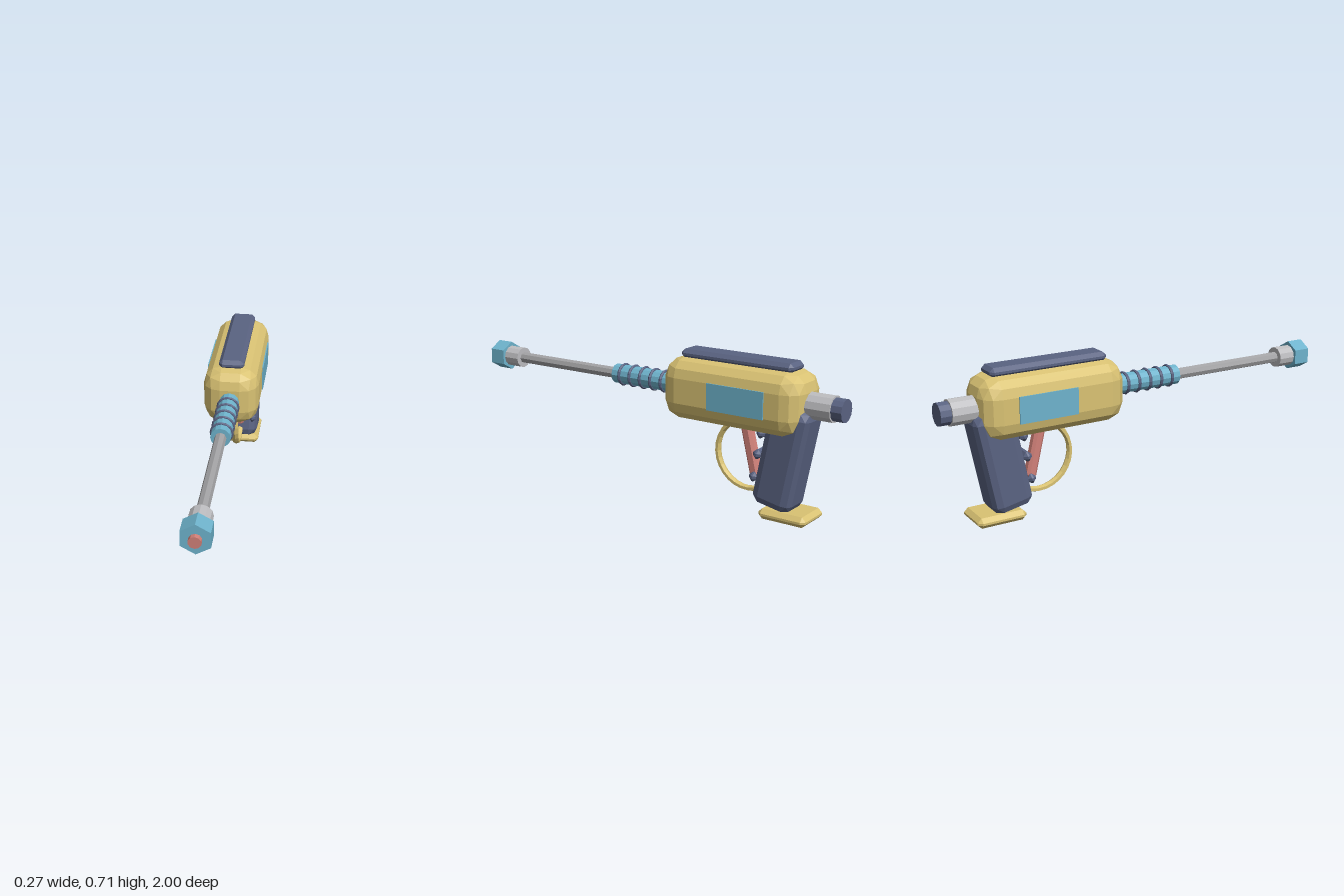
import * as THREE from 'three';
import { ConvexGeometry } from 'three/addons/geometries/ConvexGeometry.js';

const AXIS = 0.528; // height of the barrel line

export function createModel() {
  const model = new THREE.Group();
  model.name = 'sprayGun';

  const paint = (name, color) => {
    const m = new THREE.MeshStandardMaterial({ color, flatShading: true });
    m.name = name;
    return m;
  };
  const yellow = paint('mustard yellow', 0xd9c273);
  const navy = paint('slate navy', 0x5a6382);
  const blue = paint('sky blue', 0x6eb3cc);
  const pink = paint('coral', 0xd08078);
  const silver = paint('silver', 0xbdbdc0);
  const steel = paint('steel', 0xa2a2a4);

  function add(name, geometry, material, x = 0, y = 0, z = 0) {
    const mesh = new THREE.Mesh(geometry, material);
    mesh.name = name;
    mesh.position.set(x, y, z);
    model.add(mesh);
    return mesh;
  }

  // Box with bevelled edges: n facets round each edge, n = 1 is a plain chamfer
  function bevelBox(w, h, d, r, n = 1) {
    const points = [];
    const arc = (i) => Math.sin((i / n) * Math.PI / 2);
    for (const sx of [-1, 1]) for (const sy of [-1, 1]) for (const sz of [-1, 1]) {
      for (let i = 0; i <= n; i++) for (let j = 0; j <= n - i; j++) {
        const v = new THREE.Vector3(arc(i), arc(j), arc(n - i - j)).setLength(r);
        v.add(new THREE.Vector3(w / 2 - r, h / 2 - r, d / 2 - r));
        points.push(v.multiply(new THREE.Vector3(sx, sy, sz)));
      }
    }
    return new ConvexGeometry(points);
  }

  // Cylinder lying along the barrel line between two z values
  function barrelPart(name, material, radius, z0, z1, sides = 12) {
    const g = new THREE.CylinderGeometry(radius, radius, z1 - z0, sides);
    g.rotateX(Math.PI / 2);
    return add(name, g, material, 0, AXIS, (z0 + z1) / 2);
  }

  // Body, top rail and side panels
  add('body', bevelBox(0.264, 0.285, 0.705, 0.085, 3), yellow, 0, AXIS, -0.483);
  add('topRail', bevelBox(0.12, 0.045, 0.57, 0.017), navy, 0, 0.683, -0.485);
  for (const side of [-1, 1]) {
    add('sidePanel', new THREE.BoxGeometry(0.009, 0.122, 0.285), blue, side * 0.1325, AXIS - 0.001, -0.535);
  }

  // Lance, from the body to the tip
  barrelPart('foreGrip', blue, 0.047, -0.16, 0.205);
  for (let i = 0; i < 5; i++) {
    add('gripRing', new THREE.TorusGeometry(0.047, 0.008, 6, 16), navy, 0, AXIS, 0.16 - i * 0.06);
  }
  barrelPart('lance', steel, 0.027, 0.2, 0.82, 8);
  barrelPart('nozzleCollar', silver, 0.051, 0.81, 0.9);
  barrelPart('hexNozzle', blue, 0.071, 0.895, 0.978, 6);
  barrelPart('nozzleTip', pink, 0.028, 0.97, 1, 10);

  // Rear hose fitting
  barrelPart('rearCollar', silver, 0.06, -0.95, -0.81);
  barrelPart('rearCap', navy, 0.052, -1, -0.94);

  // Leaning handle with finger ridges and base plate
  const handle = add('handle', bevelBox(0.178, 0.48, 0.195, 0.04, 2), navy, 0, 0.287, -0.728);
  handle.rotation.x = -0.19;
  for (const [y, z] of [[0.385, -0.632], [0.288, -0.617]]) {
    add('fingerRidge', bevelBox(0.17, 0.045, 0.04, 0.016), navy, 0, y, z).rotation.x = -0.19;
  }
  for (const side of [-1, 1]) {
    add('lowerRidge', bevelBox(0.036, 0.045, 0.04, 0.016), navy, side * 0.067, 0.182, -0.6).rotation.x = -0.19;
  }
  add('basePlate', bevelBox(0.188, 0.048, 0.235, 0.019), yellow, 0, 0.024, -0.753);

  // Trigger and its curved guard
  add('trigger', bevelBox(0.05, 0.27, 0.05, 0.012), pink, 0, 0.295, -0.546).rotation.x = 0.24;
  const guard = new THREE.TorusGeometry(0.16, 0.013, 6, 14, THREE.MathUtils.degToRad(178));
  guard.rotateZ(THREE.MathUtils.degToRad(-118));
  guard.rotateY(-Math.PI / 2);
  guard.scale(1.4, 1, 1);
  add('triggerGuard', guard, yellow, 0, 0.258, -0.533);

  return model;
}
